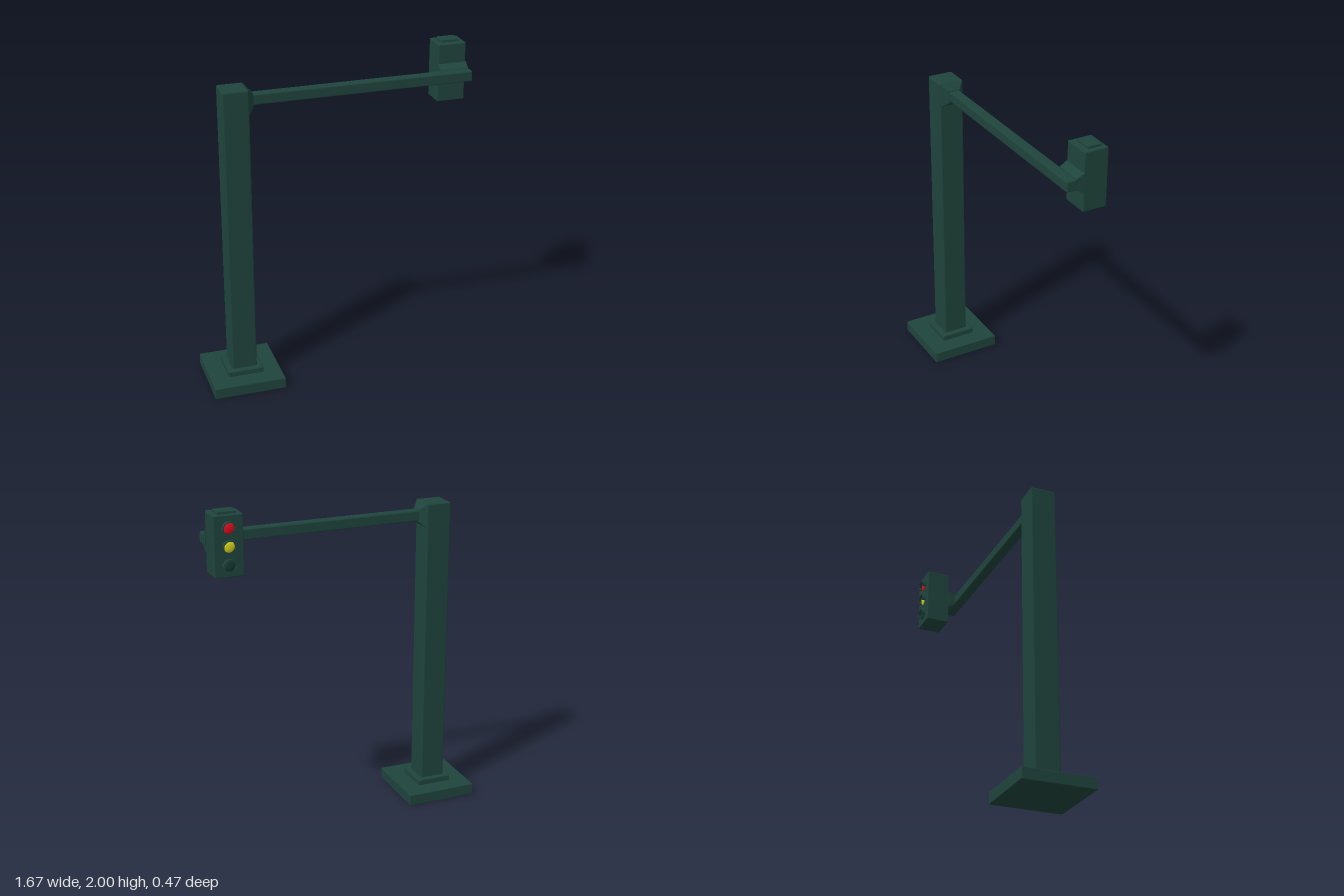
import * as THREE from 'three';
import { RoundedBoxGeometry } from 'three/addons/geometries/RoundedBoxGeometry.js';

const mat = (color) => new THREE.MeshStandardMaterial({ color });
const green = mat(0x1f443c);

export function createModel() {
  const model = new THREE.Group();
  model.name = 'trafficLight';

  const add = (name, geometry, material = green, parent = model) => {
    const mesh = new THREE.Mesh(geometry, material);
    mesh.name = name;
    parent.add(mesh);
    return mesh;
  };

  // Chamfered box given by its min and max corners
  const block = (name, [x0, y0, z0], [x1, y1, z1], bevel) => {
    const mesh = add(name, new RoundedBoxGeometry(x1 - x0, y1 - y0, z1 - z0, 1, bevel));
    mesh.position.set((x0 + x1) / 2, (y0 + y1) / 2, (z0 + z1) / 2);
    return mesh;
  };

  // Box whose far end along one axis shrinks to a smaller section
  const taper = (name, min, max, axis, farMin, farMax) => {
    const geo = new THREE.BoxGeometry(1, 1, 1).toNonIndexed();
    const p = geo.attributes.position;
    for (let i = 0; i < p.count; i++) {
      const v = [p.getX(i), p.getY(i), p.getZ(i)];
      const far = v[axis] > 0;
      const out = v.map((c, k) => (c > 0
        ? (far && k !== axis ? farMax[k] : max[k])
        : (far && k !== axis ? farMin[k] : min[k])));
      p.setXYZ(i, ...out);
    }
    geo.computeVertexNormals();
    return add(name, geo);
  };

  // Base and post
  block('basePlate', [-0.837, 0, -0.21], [-0.397, 0.07, 0.23], 0.005);
  block('baseStep', [-0.727, 0.06, -0.1], [-0.507, 0.105, 0.12], 0.008);
  block('post', [-0.695, 0.09, -0.068], [-0.54, 1.885, 0.088], 0.01);

  // Arm and its tapered joints
  taper('postBracket', [-0.545, 1.735, -0.066], [-0.505, 1.885, 0.086], 0,
    [0, 1.77, -0.027], [0, 1.845, 0.043]);
  block('arm', [-0.54, 1.776, -0.025], [0.83, 1.841, 0.04], 0.009);
  taper('signalBracket', [0.65, 1.745, -0.072], [0.83, 1.868, -0.022], 2,
    [0.655, 1.776, 0], [0.825, 1.841, 0]);

  // Signal housing
  block('signalHousing', [0.652, 1.63, -0.217], [0.826, 1.985, -0.068], 0.007);
  block('housingCap', [0.682, 1.965, -0.19], [0.796, 2.0, -0.105], 0.006);

  // Visor: thin arch over each lamp, open underneath
  const a0 = -0.46, a1 = Math.PI + 0.46;
  const arch = new THREE.Shape();
  arch.absarc(0, 0, 0.04, a0, a1, false);
  arch.absarc(0, 0, 0.034, a1, a0, true);
  const visorGeo = new THREE.ExtrudeGeometry(arch, { depth: 0.023, bevelEnabled: false, curveSegments: 16 });
  // Lamp: shallow dome
  const lampGeo = new THREE.SphereGeometry(0.034, 24, 6, 0, Math.PI * 2, 0, Math.PI / 2);
  lampGeo.rotateX(Math.PI / 2).scale(1, 1, 0.3);

  const lamps = [['red', 0xe00f22, 1.91], ['yellow', 0xdcd620, 1.805], ['green', 0x163a30, 1.697]];
  for (const [name, color, y] of lamps) {
    const lamp = new THREE.Group();
    lamp.name = `${name}Light`;
    lamp.position.set(0.738, y, -0.215);
    lamp.rotation.y = Math.PI;
    add(`${name}Lens`, lampGeo, mat(color), lamp);
    add(`${name}Visor`, visorGeo, green, lamp);
    model.add(lamp);
  }
  return model;
}
